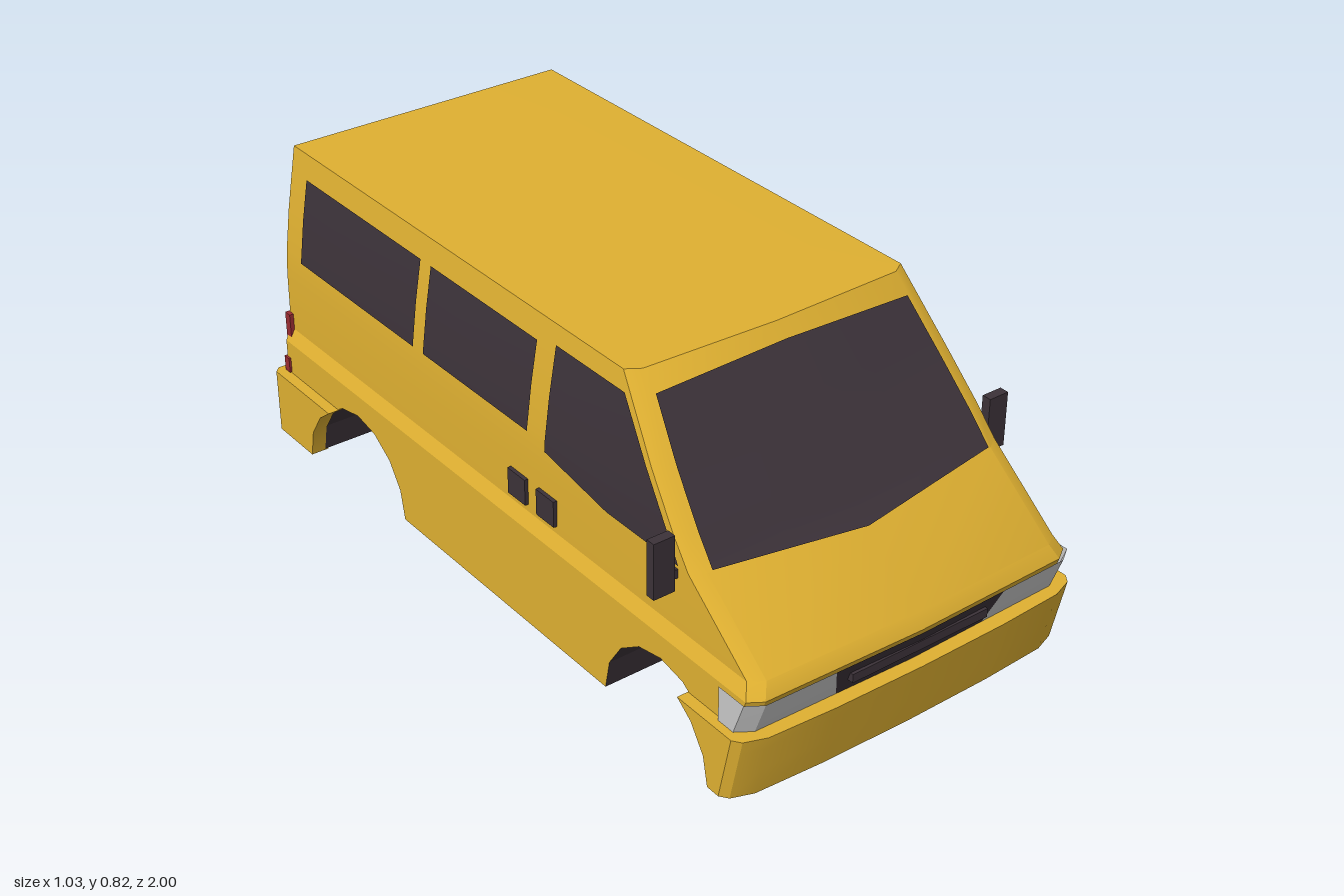
import * as THREE from 'three';
import { toCreasedNormals } from 'three/addons/utils/BufferGeometryUtils.js';

const material = (name, color) => new THREE.MeshStandardMaterial({ name, color, side: THREE.DoubleSide });

// Body outline by height: y, half width, z of the nose
const OUTLINE = [
  [0.18, 0.47, 0.955], [0.22, 0.47, 0.97], [0.275, 0.47, 0.99], [0.31, 0.452, 0.97],
  [0.47, 0.45, 0.765], [0.54, 0.445, 0.705], [0.65, 0.43, 0.61], [0.82, 0.4, 0.47],
];
const BACK = -0.97, ARCH_R = 0.207, ARCHES = [0.66, -0.615];
const lerp = THREE.MathUtils.lerp;

function outline(y) {
  let i = 0;
  while (i < OUTLINE.length - 2 && y > OUTLINE[i + 1][0]) i++;
  const [a, b] = [OUTLINE[i], OUTLINE[i + 1]];
  const t = (y - a[0]) / (b[0] - a[0]);
  return { w: lerp(a[1], b[1], t), z: lerp(a[2], b[2], t) };
}
// Slightly bowed front face
function frontZ(x, y) {
  const { w, z } = outline(y);
  return z - 0.012 * Math.abs(x) / (w - 0.035);
}
const archHalf = y => Math.sqrt(Math.max(0, ARCH_R ** 2 - y * y));

// Surface through rows of points; columns run right and rows run up, seen from outside
function grid(rows, crease = 0.45) {
  const n = rows[0].length, index = [];
  for (let r = 0; r < rows.length - 1; r++) {
    for (let c = 0; c < n - 1; c++) {
      const a = r * n + c, d = a + n;
      index.push(a, a + 1, d + 1, a, d + 1, d);
    }
  }
  const g = new THREE.BufferGeometry();
  g.setAttribute('position', new THREE.Float32BufferAttribute(rows.flat(2), 3));
  g.setIndex(index);
  return toCreasedNormals(g, crease);
}
// Mirrors rows across x, keeping them facing outward
const side = (rows, s) => s > 0 ? rows : rows.map(r => r.map(([x, y, z]) => [-x, y, z]).reverse());

export function createModel() {
  const model = new THREE.Group();
  const yellow = material('yellow paint', 0xdfb031);
  const dark = material('dark glass and trim', 0x3c3239);
  const silver = material('silver lamp', 0xc8c8c8);
  const red = material('red lamp', 0x9a2d33);

  function add(name, geometry, mat) {
    const mesh = new THREE.Mesh(geometry, mat);
    mesh.name = name;
    model.add(mesh);
    return mesh;
  }
  // Box from its minimum and maximum corners
  function box(name, mat, x0, x1, y0, y1, z0, z1) {
    add(name, new THREE.BoxGeometry(Math.abs(x1 - x0), y1 - y0, z1 - z0), mat)
      .position.set((x0 + x1) / 2, (y0 + y1) / 2, (z0 + z1) / 2);
  }

  // Upper body: rings stacked by height, closed by the roof
  const rings = OUTLINE.slice(1).map(([y, w, z]) => {
    const half = [[w - 0.035, y, z - 0.012], [w, y, z - 0.035], [w, y, BACK]];
    return [[0, y, z], ...half, ...half.map(([a, b, c]) => [-a, b, c]).reverse(), [0, y, z]];
  });
  rings.push(rings[rings.length - 1].map(() => [0, 0.824, -0.25]));
  add('upperBody', grid(rings), yellow);

  // Lower sides with wheel arches; their inner faces are dark
  const lower = new THREE.Shape();
  lower.moveTo(BACK, 0.006);
  for (const c of [...ARCHES].reverse()) {
    for (let i = 0; i <= 8; i++) {
      const a = Math.PI * (1 - i / 8);
      lower.lineTo(c + ARCH_R * Math.cos(a), 0.006 + ARCH_R * Math.sin(a));
    }
  }
  lower.lineTo(0.9, 0.006);
  lower.lineTo(0.92, 0.22);
  lower.lineTo(BACK, 0.22);
  const lowerGeo = new THREE.ExtrudeGeometry(lower, { depth: 0.17, bevelEnabled: false });
  lowerGeo.rotateY(-Math.PI / 2);
  for (const x of [0.47, -0.3]) add('lowerSide', lowerGeo, [yellow, dark]).position.x = x;
  box('floor', dark, -0.3, 0.3, 0.006, 0.21, -0.95, 0.91);
  box('lowerRearPanel', yellow, -0.469, 0.469, 0.008, 0.221, BACK - 0.001, -0.93);

  // Front bumper, leaning back towards the ground and cut by the arches
  const levels = [0.003, 0.079, 0.146, 0.182];
  const inward = row => row.map(([x, y, z]) => [THREE.MathUtils.clamp(x, -0.45, 0.45), y, Math.min(z, 0.9)]);
  const frontRows = levels.map(y => {
    const lean = 0.04 * (1 - y / 0.182), end = ARCHES[0] + archHalf(y);
    const half = [[0.25, y, 0.996 - lean], [0.43, y, 0.986 - lean], [0.485, y, 0.966 - lean],
      [0.5, y, 0.945 - lean], [0.5, y, end], [0.46, y, end]];
    return [...half.map(([a, b, c]) => [-a, b, c]).reverse(), [0, y, 1 - lean], ...half];
  });
  add('frontBumper', grid([inward(frontRows[0]), ...frontRows, inward(frontRows[3])]), yellow);

  // Rear bumper corners joined by a low sill
  const rearRows = levels.map(y => {
    const end = ARCHES[1] - archHalf(y);
    return [[0.46, y, end], [0.5, y, end], [0.5, y, -0.985], [0.485, y, -1], [0.44, y, -1], [0.44, y, -0.965]];
  });
  const inner = row => row.map(([, y, z]) => [0.45, y, Math.max(z, -0.96)]);
  for (const s of [1, -1]) {
    add('rearBumperCorner', grid(side([inner(rearRows[0]), ...rearRows, inner(rearRows[3])], s)), yellow);
  }
  box('rearSill', yellow, -0.44, 0.44, 0.003, 0.045, -1, -0.95);

  // Windscreen following the front of the body
  const screen = [];
  for (let i = 0; i <= 14; i++) {
    screen.push([-1, -0.5, 0, 0.5, 1].map(t => {
      const k = Math.abs(t);
      const y = lerp(lerp(0.445, 0.472, k), lerp(0.785, 0.773, k), i / 14);
      const x = t * (outline(y).w - 0.045);
      return [x, y + 0.004, frontZ(x, y) + 0.005];
    }));
  }
  add('windscreen', grid(screen), dark);

  // Side windows: rows of height, front z, back z
  const panes = {
    frontSideWindow: [[0.475, 0.7, 0.44], [0.51, 0.675, 0.2], [0.54, 0.653, 0.2], [0.65, 0.56, 0.2], [0.775, 0.455, 0.2]],
    middleSideWindow: [0.53, 0.54, 0.65, 0.758].map(y => [y, 0.13, -0.31]),
    rearSideWindow: [0.53, 0.54, 0.65, 0.758].map(y => [y, -0.355, -0.89]),
  };
  for (const [name, rows] of Object.entries(panes)) {
    const points = rows.map(([y, f, b]) => [f, b].map(z => [outline(y).w + 0.004, y, z]));
    for (const s of [1, -1]) add(name, grid(side(points, s)), dark);
  }

  // Headlamps wrapping round the corners, with the grille between them
  const noseLevels = [[0.182, 0.218], [0.22, 0.23], [0.273, 0.248]];
  const lampRows = noseLevels.map(([y, x]) => {
    const { w, z } = outline(y);
    return [[x, y, frontZ(x, y) + 0.008], [w - 0.03, y, z - 0.004], [w + 0.009, y, z - 0.03], [w + 0.009, y, 0.875]];
  });
  for (const s of [1, -1]) add('headlamp', grid(side(lampRows, s)), silver);
  const grilleRows = noseLevels.map(([y, x]) => [-x, 0, x].map(v => [v, y, frontZ(v, y) + 0.008]));
  add('grille', grid(grilleRows), dark);
  box('grilleBar', dark, -0.2, 0.2, 0.222, 0.245, 0.97, 0.99);

  // Door mirrors and tail lamps
  for (const s of [1, -1]) {
    box('mirror', dark, s * 0.46, s * 0.517, 0.41, 0.555, 0.672, 0.697);
    box('mirrorArm', dark, s * 0.43, s * 0.465, 0.44, 0.463, 0.675, 0.695);
    box('upperTailLamp', red, s * 0.415, s * 0.463, 0.28, 0.355, -0.976, -0.953);
    box('lowerTailLamp', red, s * 0.415, s * 0.476, 0.185, 0.227, -0.976, -0.953);
  }

  // Rear windows with clipped corners
  for (const s of [1, -1]) {
    const pane = [[0.455, 0.03, 0.34], [0.467, 0.018, 0.353], [0.74, 0.018, 0.338], [0.755, 0.03, 0.325]]
      .map(([y, a, b]) => [[b, y, -0.974], [a, y, -0.974]]);
    add('rearWindow', grid(side(pane, s)), dark);
  }

  // Rear plate holder, blank plate and rear handle
  box('plateHolder', dark, 0.045, 0.3, 0.245, 0.315, -0.975, -0.968);
  box('blankPlate', silver, 0.07, 0.277, 0.25, 0.306, -0.979, -0.972);
  box('rearHandleMount', yellow, -0.085, -0.015, 0.25, 0.325, -0.975, -0.968);
  box('rearHandle', dark, -0.078, -0.022, 0.29, 0.312, -0.979, -0.972);

  // Sliding door handles on the right side only
  for (const z of [0.06, 0.175]) box('doorHandle', dark, -0.461, -0.44, 0.33, 0.4, z, z + 0.07);

  return model;
}
